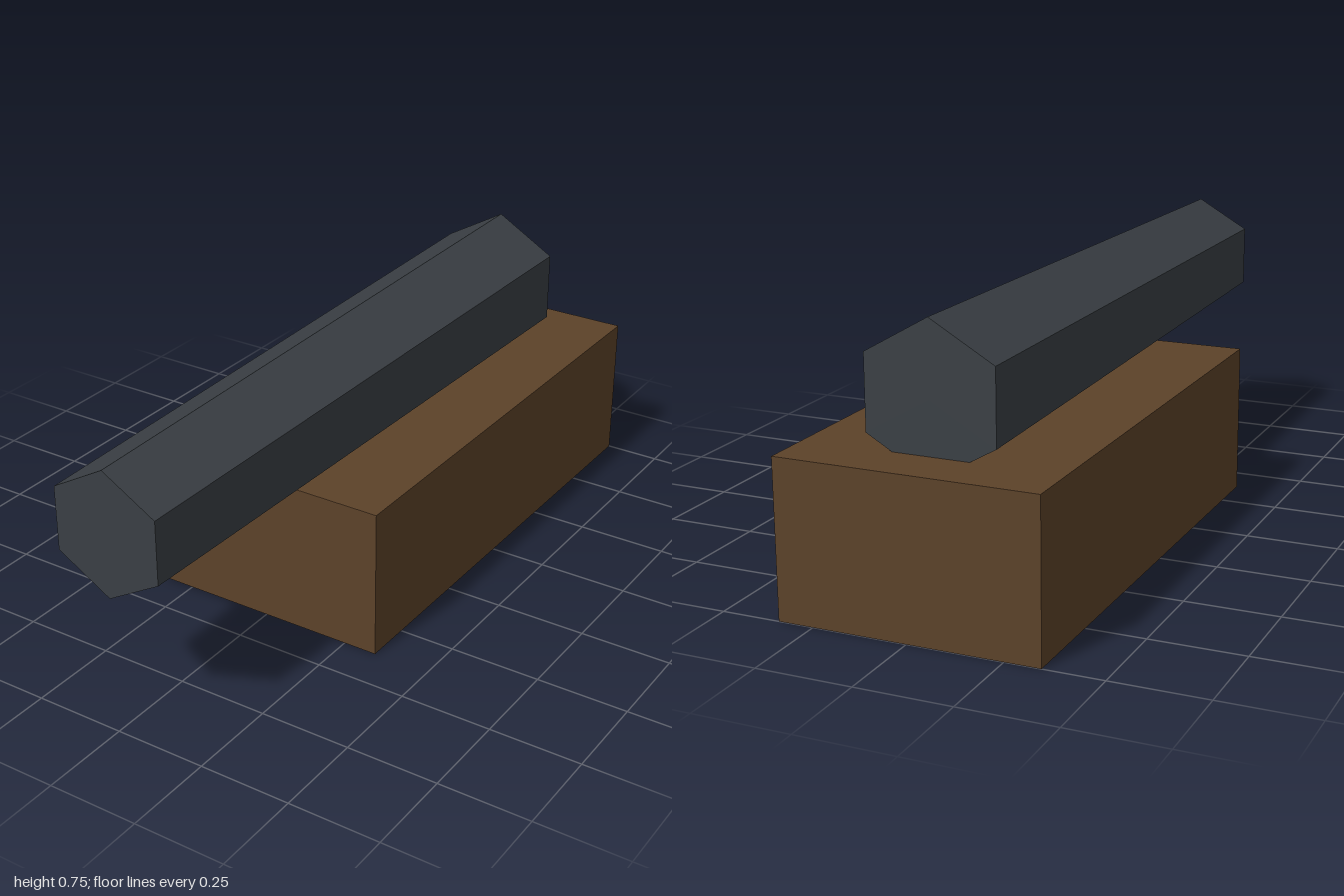
import * as THREE from 'three';

export function createModel() {
  const model = new THREE.Group();
  const wood = new THREE.MeshStandardMaterial({ color: 0x5c4229 });
  wood.name = 'brown wood';
  const iron = new THREE.MeshStandardMaterial({ color: 0x3a3f44, flatShading: true });
  iron.name = 'dark iron';

  // Wooden block the barrel rests on
  const base = new THREE.Mesh(new THREE.BoxGeometry(0.688, 0.414, 1.38), wood);
  base.name = 'base';
  base.position.set(0, 0.207, -0.31);

  // Six-sided barrel, narrower at the front
  const barrelGeometry = new THREE.CylinderGeometry(0.171, 0.197, 1.86, 6);
  barrelGeometry.rotateX(Math.PI / 2);
  const barrel = new THREE.Mesh(barrelGeometry, iron);
  barrel.name = 'barrel';
  barrel.position.set(0, 0.552, 0.07);

  model.add(base, barrel);
  return model;
}
